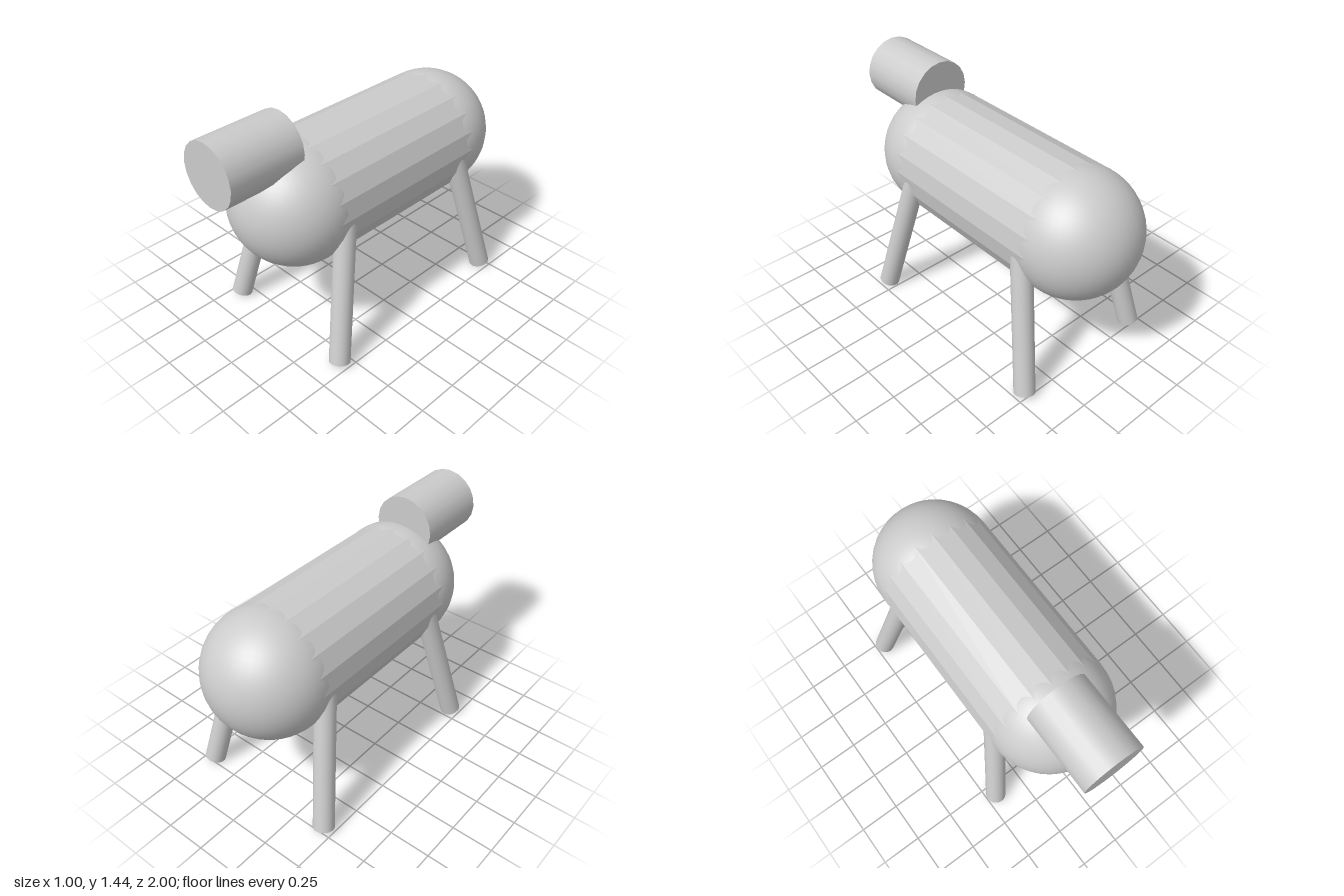
import * as THREE from 'three';

export function createModel() {
  const group = new THREE.Group();
  const smooth = new THREE.MeshStandardMaterial({ color: 0xcccccc });
  const faceted = new THREE.MeshStandardMaterial({ color: 0xcccccc, flatShading: true });

  function add(name, geometry, material, x, y, z) {
    const mesh = new THREE.Mesh(geometry, material);
    mesh.name = name;
    mesh.position.set(x, y, z);
    group.add(mesh);
    return mesh;
  }

  // Barrel body with a rounded chest and rump
  const radius = 0.375, bodyY = 0.88, midZ = -0.075, half = 0.55;
  const barrel = new THREE.CylinderGeometry(radius, radius, half * 2, 20).rotateX(Math.PI / 2);
  add('body', barrel, faceted, 0, bodyY, midZ);
  const ball = new THREE.SphereGeometry(radius, 40, 28);
  add('chest', ball, smooth, 0, bodyY, midZ + half);
  add('rump', ball, smooth, 0, bodyY, midZ - half);

  // Head, set slightly to one side
  const head = new THREE.CylinderGeometry(0.188, 0.188, 0.47, 20).rotateX(Math.PI / 2);
  add('head', head, smooth, -0.022, 1.248, 0.765);

  // Four splayed legs, tops buried in the body
  const up = new THREE.Vector3(0, 1, 0);
  for (const [end, dz] of [['front', 1], ['back', -1]]) {
    for (const [side, dx] of [['Left', 1], ['Right', -1]]) {
      const foot = new THREE.Vector3(dx * 0.438, 0.017, midZ + dz * 0.643);
      const hip = new THREE.Vector3(dx * 0.294, 0.917, midZ + dz * 0.44);
      const axis = hip.clone().sub(foot);
      const centre = foot.clone().add(hip).multiplyScalar(0.5);
      const geometry = new THREE.CylinderGeometry(0.0625, 0.0625, axis.length(), 20);
      const leg = add(`${end}${side}Leg`, geometry, smooth, centre.x, centre.y, centre.z);
      leg.quaternion.setFromUnitVectors(up, axis.normalize());
    }
  }
  return group;
}
